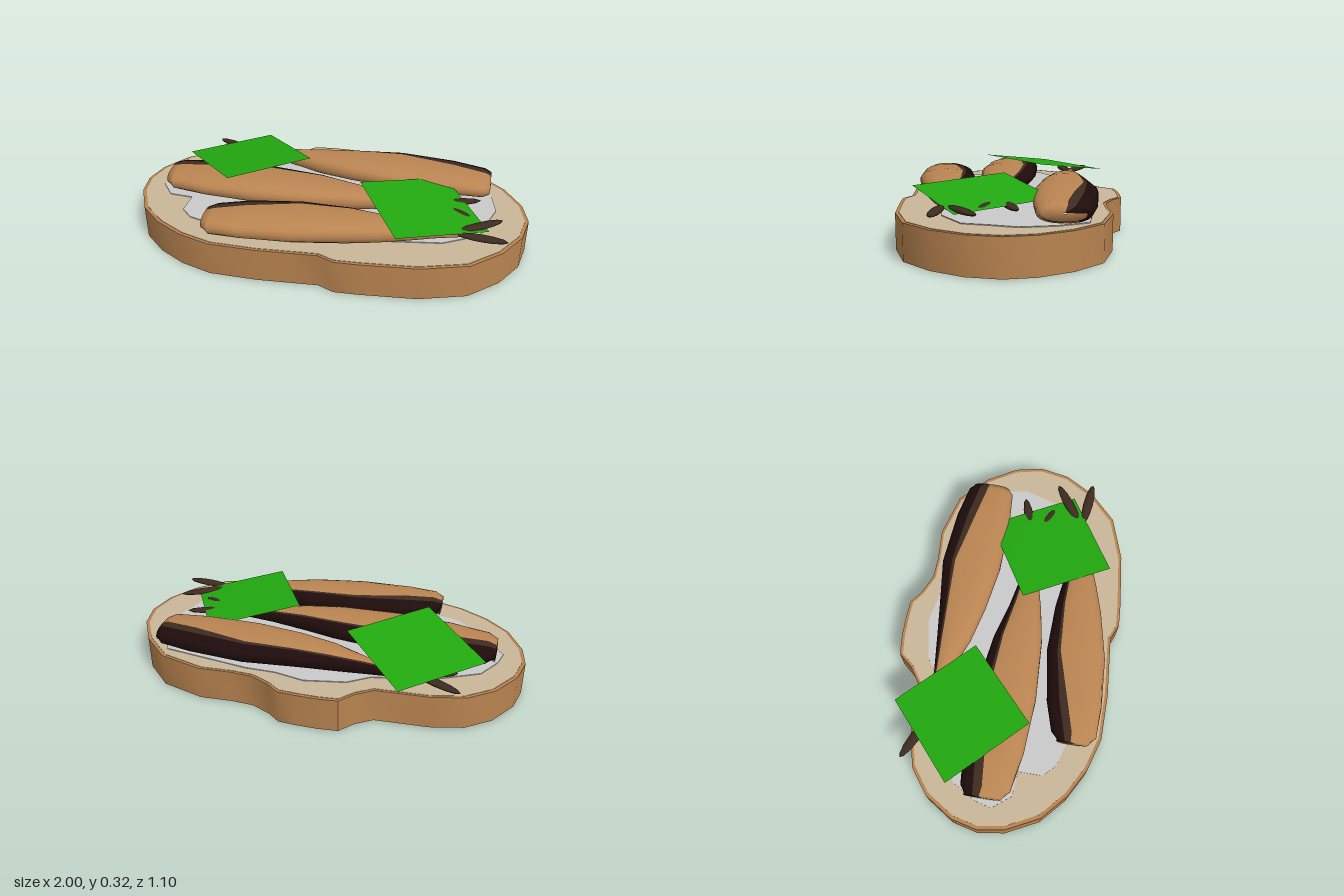
import * as THREE from 'three';
import { toCreasedNormals } from 'three/addons/utils/BufferGeometryUtils.js';

const mat = (name, color, side = THREE.FrontSide) => {
  const m = new THREE.MeshStandardMaterial({ color, side });
  m.name = name;
  return m;
};

// Extrude an (x, z) outline upwards from y0
function slab(name, outline, scale, y0, height, material) {
  const shape = new THREE.Shape(outline.map(([x, z]) => new THREE.Vector2(x * scale[0], -z * scale[1])));
  const geo = new THREE.ExtrudeGeometry(shape, { depth: height, bevelEnabled: false });
  geo.rotateX(-Math.PI / 2).translate(0, y0, 0);
  const mesh = new THREE.Mesh(toCreasedNormals(geo, 0.6), material);
  mesh.name = name;
  return mesh;
}

// Shared fish sections, head to tail: bottom y, top y, then angles where
// the dark back starts, where it ends and where its brown border ends
const SECTIONS = [
  [0.225, 0.23, 30, 65, 85], [0.19, 0.262, 0, 65, 85], [0.178, 0.275, -70, 65, 85],
  [0.175, 0.287, -80, 60, 78], [0.175, 0.293, -80, 53, 61], [0.175, 0.292, -80, 50, 56],
  [0.178, 0.283, -80, 45, 54], [0.188, 0.265, -80, 45, 58], [0.2, 0.248, -80, 45, 62],
  [0.22, 0.23, -80, 45, 62],
];
const BANDS = [8, 2, 14]; // segments of dark back, brown border, tan belly

// Loft a body through [x, back z, front z] stations
function fishBody(stations, materials) {
  let rings = stations.map((s, i) => [...s, ...SECTIONS[i]]);
  if (rings[0][0] > rings[9][0]) rings.reverse();
  const pos = [], n = 24;
  for (const [x, zb, zf, y0, y1, start, dark, brown] of rings) {
    const stops = [start, dark, brown, start + 360];
    BANDS.forEach((count, b) => {
      for (let j = 0; j < count; j++) {
        const a = THREE.MathUtils.degToRad(stops[b] + (stops[b + 1] - stops[b]) * j / count);
        const box = (v) => Math.sign(v) * Math.abs(v) ** 0.85;
        pos.push(x, (y0 + y1) / 2 + box(Math.sin(a)) * (y1 - y0) / 2,
          (zb + zf) / 2 - box(Math.cos(a)) * (zf - zb) / 2);
      }
    });
  }
  const geo = new THREE.BufferGeometry(), index = [];
  let first = 0;
  BANDS.forEach((count, band) => {
    const from = index.length;
    for (let i = 0; i < rings.length - 1; i++) {
      for (let j = first; j < first + count; j++) {
        const k = (j + 1) % n, a = i * n + j, b = i * n + k;
        index.push(a, b, a + n, b, b + n, a + n);
      }
    }
    geo.addGroup(from, index.length - from, band);
    first += count;
  });
  geo.setAttribute('position', new THREE.Float32BufferAttribute(pos, 3));
  geo.setIndex(index);
  geo.computeVertexNormals();
  const mesh = new THREE.Mesh(geo, materials);
  mesh.name = 'fishBody';
  return mesh;
}

// Slim tail lobe between two (x, z) points
function tailLobe([x0, z0], [x1, z1], material) {
  const dx = x1 - x0, dz = z1 - z0;
  const mesh = new THREE.Mesh(new THREE.SphereGeometry(1, 12, 8), material);
  mesh.scale.set(Math.hypot(dx, dz) / 2, 0.014, 0.026);
  mesh.position.set((x0 + x1) / 2, 0.23, (z0 + z1) / 2);
  mesh.rotation.y = -Math.atan2(dz, dx);
  mesh.name = 'tailLobe';
  return mesh;
}

// Flat four-cornered leaf
function leaf(name, corners, material) {
  const geo = new THREE.BufferGeometry();
  geo.setAttribute('position', new THREE.Float32BufferAttribute(corners.flat(), 3));
  geo.setIndex([0, 1, 2, 0, 2, 3]);
  geo.computeVertexNormals();
  const mesh = new THREE.Mesh(geo, material);
  mesh.name = name;
  return mesh;
}

export function createModel() {
  const crust = mat('crust', 0xb98450), crumb = mat('crumb', 0xc9b798), butter = mat('butter', 0xcbcbcb);
  const belly = mat('fishBelly', 0xbb8552), back = mat('fishBack', 0x1f0c0c), border = mat('fishBorder', 0x3d2b20);
  const green = mat('leafGreen', 0x22aa10, THREE.DoubleSide);
  const model = new THREE.Group();
  model.name = 'openSandwich';

  // Bread slice
  const outline = [
    [-0.2, -0.54], [-0.1, -0.55], [0.0, -0.55], [0.09, -0.545], [0.15, -0.5], [0.25, -0.455], [0.36, -0.45],
    [0.52, -0.46], [0.74, -0.4], [0.88, -0.27], [0.97, -0.12], [1, 0.02], [0.97, 0.17], [0.88, 0.32],
    [0.74, 0.45], [0.52, 0.52], [0.25, 0.545], [0.13, 0.55], [0.05, 0.515], [-0.1, 0.525], [-0.25, 0.535],
    [-0.48, 0.53], [-0.64, 0.48], [-0.78, 0.4], [-0.9, 0.29], [-0.98, 0.13], [-1, 0], [-0.97, -0.13],
    [-0.88, -0.27], [-0.76, -0.36], [-0.6, -0.4], [-0.34, -0.415], [-0.26, -0.47],
  ];
  const inset = [0.982, 0.972];
  model.add(slab('breadCrust', outline, [1, 1], 0.002, 0.17, crust));
  model.add(slab('breadTop', outline, inset, 0.17, 0.004, crumb));
  model.add(slab('breadBottom', outline, inset, 0, 0.004, crumb));

  // Butter spread
  model.add(slab('butter', [
    [-0.89, 0.05], [-0.82, 0.14], [-0.7, 0.15], [-0.7, 0.27], [-0.64, 0.33], [-0.5, 0.37], [0.2, 0.36],
    [0.6, 0.3], [0.77, 0.2], [0.8, 0.08], [0.84, -0.04], [0.81, -0.2], [0.74, -0.34], [0.3, -0.4],
    [0.15, -0.4], [0, -0.43], [-0.2, -0.39], [-0.3, -0.32], [-0.6, -0.25], [-0.8, -0.15], [-0.87, -0.03],
  ], [1, 1], 0.172, 0.006, butter));

  // Three fish with forked tails
  const fish = [
    { name: 'backFish',
      body: [[0.805, -0.24, -0.22], [0.802, -0.325, -0.135], [0.77, -0.35, -0.11], [0.6, -0.385, -0.1],
        [0.32, -0.41, -0.105], [0.08, -0.38, -0.145], [-0.1, -0.36, -0.19], [-0.28, -0.34, -0.265],
        [-0.42, -0.335, -0.295], [-0.58, -0.34, -0.32]],
      tail: [[[-0.5, -0.31], [-0.73, -0.42]], [[-0.5, -0.31], [-0.7, -0.26]]] },
    { name: 'middleFish',
      body: [[-0.858, -0.01, 0.01], [-0.855, -0.09, 0.09], [-0.81, -0.11, 0.13], [-0.62, -0.13, 0.165],
        [-0.35, -0.12, 0.185], [-0.05, -0.075, 0.17], [0.13, -0.025, 0.14], [0.3, 0.01, 0.1],
        [0.44, 0.02, 0.07], [0.62, 0.025, 0.045]],
      tail: [[[0.52, 0.04], [0.76, -0.035]], [[0.52, 0.04], [0.72, 0.13]]] },
    { name: 'frontFish',
      body: [[-0.535, 0.39, 0.41], [-0.532, 0.31, 0.465], [-0.49, 0.28, 0.5], [-0.34, 0.235, 0.507],
        [-0.09, 0.2, 0.495], [0.16, 0.21, 0.445], [0.3, 0.23, 0.405], [0.44, 0.25, 0.36],
        [0.56, 0.26, 0.32], [0.72, 0.27, 0.29]],
      tail: [[[0.66, 0.29], [0.9, 0.315]], [[0.66, 0.27], [0.87, 0.13]]] },
  ];
  for (const { name, body, tail } of fish) {
    const group = new THREE.Group();
    group.name = name;
    group.add(fishBody(body, [back, border, belly]));
    tail.forEach(([a, b]) => group.add(tailLobe(a, b, border)));
    model.add(group);
  }

  // Leaves laid over the fish
  model.add(leaf('leftLeaf',
    [[-0.46, 0.245, -0.5], [-0.82, 0.26, -0.18], [-0.49, 0.325, 0.17], [-0.14, 0.31, -0.15]], green));
  model.add(leaf('rightLeaf',
    [[0.16, 0.308, 0.04], [0.395, 0.278, 0.46], [0.81, 0.22, 0.225], [0.57, 0.25, -0.195]], green));
  return model;
}
